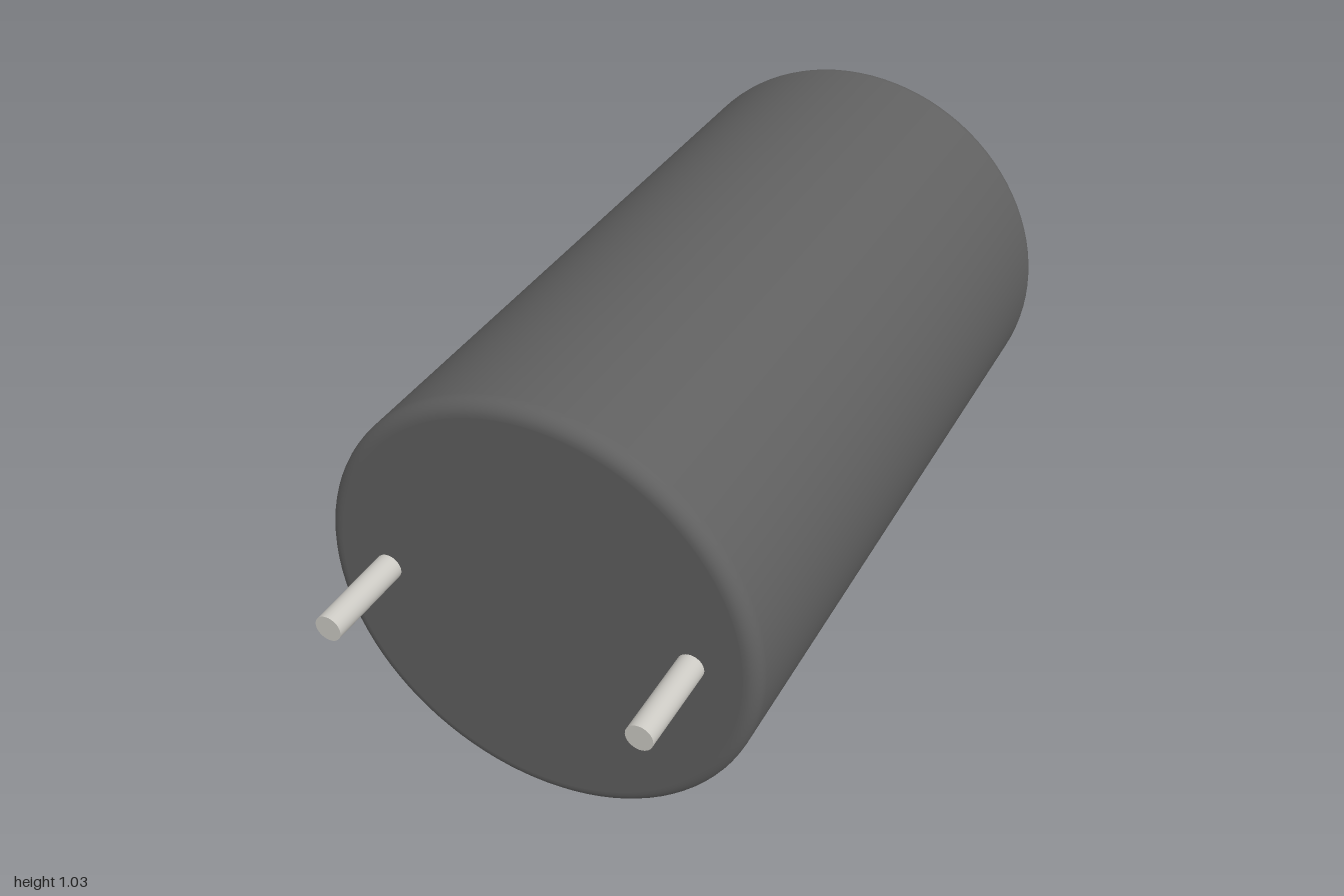
import * as THREE from 'three';

const RADIUS = 0.514, AXIS_Y = 0.515, BACK = -1, FRONT = 0.775, FILLET = 0.034;

export function createModel() {
  const group = new THREE.Group();
  const bodyMaterial = new THREE.MeshStandardMaterial({ color: 0x606060 });
  const pinMaterial = new THREE.MeshStandardMaterial({ color: 0xcccac4 });

  // Can with rounded rims: profile runs from the back centre to the front centre
  const profile = [new THREE.Vector2(0, BACK), new THREE.Vector2(RADIUS - FILLET - 0.002, BACK)];
  const addRim = (y, from) => {
    for (let i = 0; i <= 8; i++) {
      const a = from + (i / 8) * Math.PI / 2;
      profile.push(new THREE.Vector2(RADIUS - FILLET + FILLET * Math.cos(a), y + FILLET * Math.sin(a)));
    }
  };
  addRim(BACK + FILLET, -Math.PI / 2);
  // Points close to the rims keep the wall and end shading straight
  profile.push(new THREE.Vector2(RADIUS, BACK + FILLET + 0.002));
  profile.push(new THREE.Vector2(RADIUS, FRONT - FILLET - 0.002));
  addRim(FRONT - FILLET, 0);
  profile.push(new THREE.Vector2(RADIUS - FILLET - 0.002, FRONT), new THREE.Vector2(0, FRONT));

  const body = new THREE.Mesh(new THREE.LatheGeometry(profile, 96), bodyMaterial);
  body.name = 'canBody';
  body.rotation.x = Math.PI / 2;
  body.position.y = AXIS_Y;
  group.add(body);

  // Two terminal pins on the front, slightly sunk into the can
  const pinStart = FRONT - 0.01;
  for (const side of [-1, 1]) {
    const pin = new THREE.Mesh(new THREE.CylinderGeometry(0.031, 0.031, 1 - pinStart, 32), pinMaterial);
    pin.name = side > 0 ? 'leftPin' : 'rightPin';
    pin.rotation.x = Math.PI / 2;
    pin.position.set(side * 0.362, AXIS_Y, (1 + pinStart) / 2);
    group.add(pin);
  }
  return group;
}
